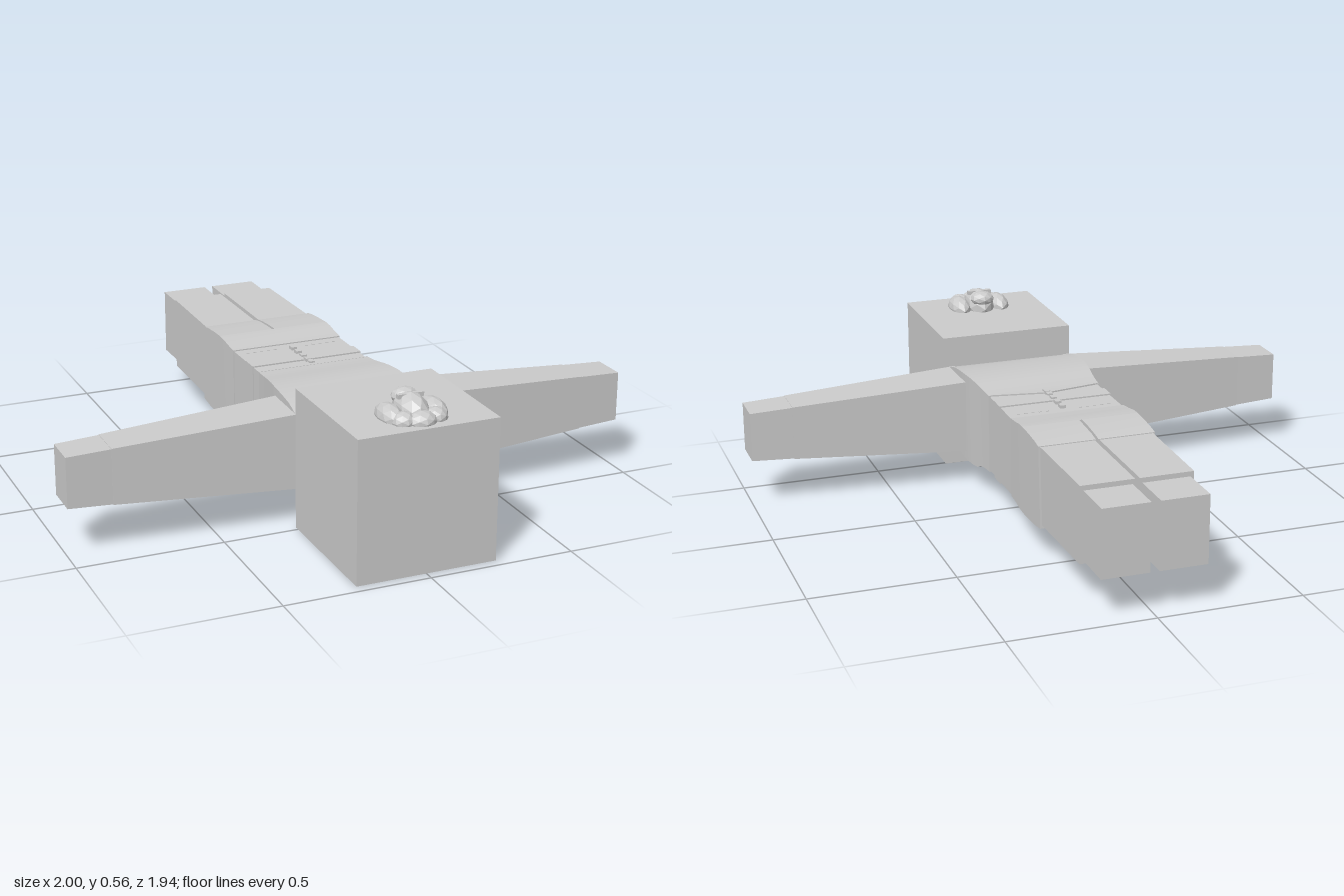
import * as THREE from 'three';

const mat = new THREE.MeshStandardMaterial({ color: 0xcccccc });
const flat = new THREE.MeshStandardMaterial({ color: 0xcccccc, flatShading: true });

// Rectangular loft along z. Section: [z, centreX, halfWidth, yBottom, yTop, zShiftOfBottom], z ascending.
function loft(sections) {
  const rings = sections.map(([z, cx, hw, y0, y1, dz = 0]) => [
    [cx - hw, y0, z + dz], [cx + hw, y0, z + dz], [cx + hw, y1, z], [cx - hw, y1, z]]);
  const pos = [], idx = [];
  for (let k = 0; k < 4; k++) {
    const base = pos.length / 3;
    rings.forEach((r) => pos.push(...r[k], ...r[(k + 1) % 4]));
    for (let i = 0; i < rings.length - 1; i++) {
      const a = base + i * 2;
      idx.push(a, a + 1, a + 3, a, a + 3, a + 2);
    }
  }
  // end caps
  const lo = pos.length / 3;
  pos.push(...rings[0].flat(), ...rings[rings.length - 1].flat());
  idx.push(lo, lo + 2, lo + 1, lo, lo + 3, lo + 2, lo + 4, lo + 5, lo + 6, lo + 4, lo + 6, lo + 7);
  const g = new THREE.BufferGeometry();
  g.setAttribute('position', new THREE.Float32BufferAttribute(pos, 3));
  g.setIndex(idx);
  g.computeVertexNormals();
  return g;
}

export function createModel() {
  const model = new THREE.Group();
  model.name = 'lyingFigure';
  const add = (name, geometry, material = mat) => {
    const m = new THREE.Mesh(geometry, material);
    m.name = name;
    model.add(m);
    return m;
  };
  const box = (name, w, h, d, x, y, z) => {
    const m = add(name, new THREE.BoxGeometry(w, h, d));
    m.position.set(x, y, z);
    return m;
  };

  // Head with two flat eye panels underneath
  box('head', 0.486, 0.488, 0.484, 0, 0.246, 0.728);
  for (const s of [-1, 1]) box('eye', 0.175, 0.003, 0.13, s * 0.112, 0.0015, 0.75);

  // Faceted hair knot: [x, y, z, rx, ry, rz]
  const lobes = [
    [0, 0.5, 0.83, 0.055, 0.062, 0.085],
    [0, 0.535, 0.785, 0.045, 0.028, 0.04],
    [0, 0.495, 0.91, 0.05, 0.032, 0.045],
    [0.075, 0.495, 0.835, 0.04, 0.04, 0.075],
    [-0.075, 0.495, 0.835, 0.04, 0.04, 0.075],
    [0.055, 0.495, 0.895, 0.04, 0.032, 0.04],
    [-0.055, 0.495, 0.895, 0.04, 0.032, 0.04],
  ];
  for (const [x, y, z, rx, ry, rz] of lobes) {
    const m = add('hairKnot', new THREE.IcosahedronGeometry(1, 1), flat);
    m.position.set(x, y, z);
    m.scale.set(rx, ry, rz);
  }
  box('hairBand', 0.09, 0.014, 0.016, 0, 0.55, 0.825);

  // Torso with rounded chest and back
  add('torso', loft([
    [0.07, 0, 0.204, 0.118, 0.402], [0.11, 0, 0.207, 0.117, 0.404], [0.15, 0, 0.211, 0.112, 0.409],
    [0.18, 0, 0.215, 0.098, 0.413], [0.22, 0, 0.22, 0.094, 0.417], [0.27, 0, 0.226, 0.094, 0.418],
    [0.33, 0, 0.228, 0.099, 0.415], [0.39, 0, 0.229, 0.111, 0.408], [0.43, 0, 0.23, 0.124, 0.398],
    [0.46, 0, 0.231, 0.141, 0.386]]));

  // Pointed hem on the upper side
  const hem = new THREE.Shape([
    new THREE.Vector2(-0.204, 0.072), new THREE.Vector2(0, 0.037), new THREE.Vector2(0.204, 0.072)]);
  const hemMesh = add('hem', new THREE.ExtrudeGeometry(hem, { depth: 0.02, bevelEnabled: false }));
  hemMesh.rotation.x = Math.PI / 2;
  hemMesh.position.y = 0.403;

  // Waist, belt and lacing
  add('waist', loft([[-0.18, 0, 0.201, 0.122, 0.398], [0.075, 0, 0.2, 0.122, 0.398]]));
  add('belt', loft([[-0.05, 0, 0.204, 0.118, 0.403], [0.012, 0, 0.204, 0.118, 0.403]]));
  for (const z of [0.045, 0.015, -0.025, -0.07, -0.115]) box('lace', 0.02, 0.012, 0.024, 0, 0.403, z);
  for (const s of [-1, 1])
    for (let i = 0; i < 5; i++) box('stitch', 0.01, 0.004, 0.005, s * (0.06 + i * 0.026), 0.398, -0.135);

  // Hips join both legs
  add('hips', loft([
    [-0.3, 0, 0.206, 0.108, 0.416], [-0.26, 0, 0.206, 0.112, 0.414],
    [-0.22, 0, 0.205, 0.118, 0.407], [-0.172, 0, 0.204, 0.12, 0.402]]));

  // Paired limbs
  for (const s of [-1, 1]) {
    add('thigh', loft([
      [-0.457, s * 0.1045, 0.1, 0.119, 0.402, -0.018], [-0.42, s * 0.1045, 0.1, 0.111, 0.408],
      [-0.36, s * 0.105, 0.1, 0.108, 0.413], [-0.3, s * 0.1055, 0.1005, 0.108, 0.416]]));
    add('shin', loft([
      [-0.815, s * 0.1, 0.092, 0.133, 0.398], [-0.45, s * 0.103, 0.095, 0.13, 0.399]]));
    add('foot', loft([
      [-0.972, s * 0.098, 0.082, 0.145, 0.381], [-0.8, s * 0.098, 0.082, 0.145, 0.381]]));

    const sleeve = add('sleeve', loft([
      [0.21, -s * 0.366, 0.095, 0.126, 0.39], [0.85, -s * 0.368, 0.068, 0.166, 0.358]]));
    const hand = add('hand', loft([
      [0.84, -s * 0.368, 0.067, 0.167, 0.357], [1, -s * 0.368, 0.063, 0.175, 0.35]]));
    sleeve.rotation.y = hand.rotation.y = s * Math.PI / 2;
  }
  return model;
}
